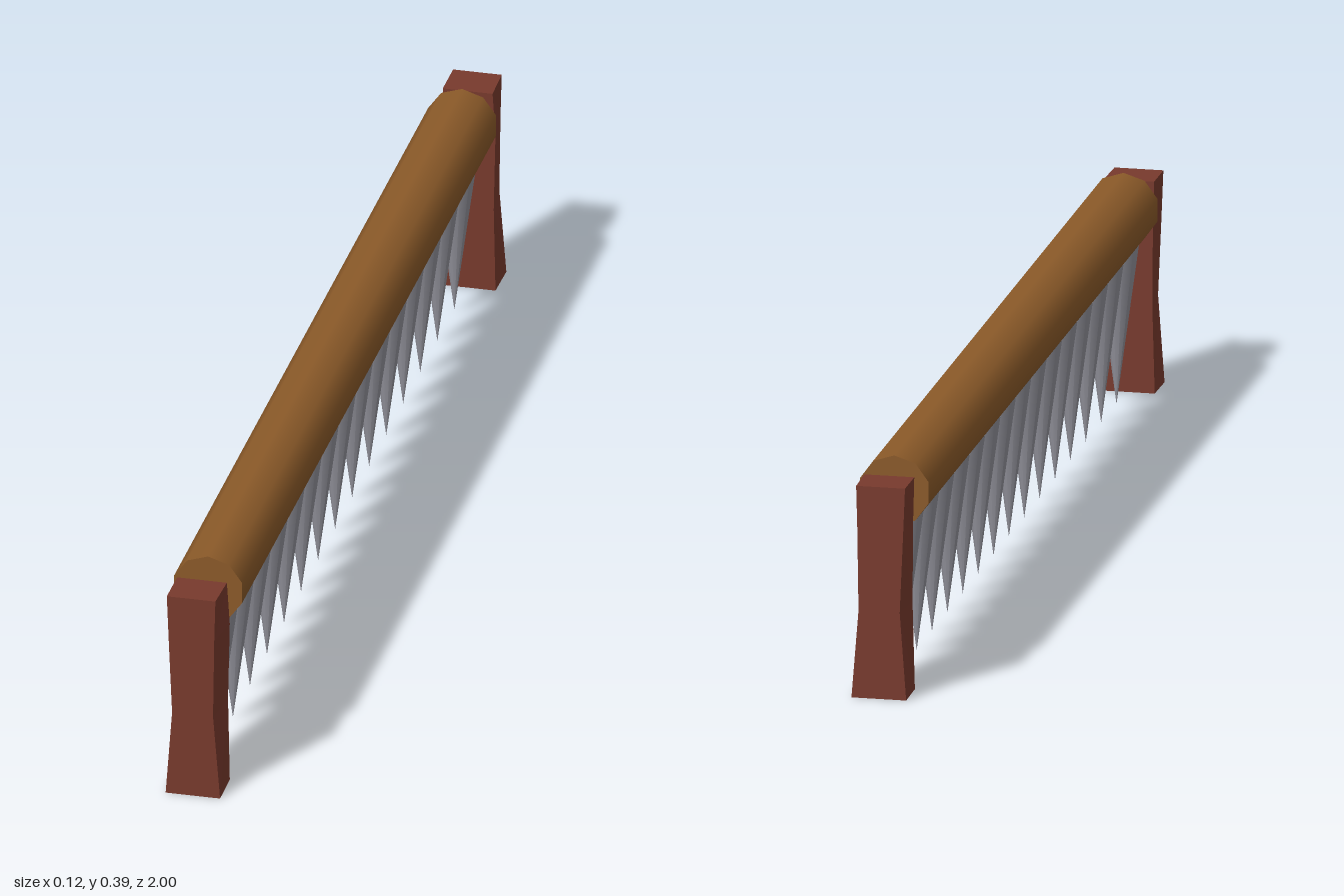
import * as THREE from 'three';

const wood = new THREE.MeshStandardMaterial({ color: 0x8b5a29 });
const postWood = new THREE.MeshStandardMaterial({ color: 0x783a2d, flatShading: true, side: THREE.DoubleSide });
const steel = new THREE.MeshStandardMaterial({ color: 0x92929b });

const BEAM_Y = 0.328;

function addMesh(parent, name, geometry, material, x = 0, y = 0, z = 0) {
  const mesh = new THREE.Mesh(geometry, material);
  mesh.name = name;
  mesh.position.set(x, y, z);
  parent.add(mesh);
}

// Four-sided post from rings of corners, pinched at the waist, hollow underneath
function postGeometry() {
  // each ring: y, outer left x, outer right x, inner right x, inner left x
  const rings = [
    [0, -0.045, 0.048, 0.047, -0.044],
    [0.15, -0.034, 0.036, 0.044, -0.04],
    [0.29, -0.04, 0.038, 0.047, -0.041],
    [0.365, -0.043, 0.04, 0.042, -0.043],
  ];
  const outer = 1, inner = 0.928;
  const positions = [], index = [];
  for (const [y, a, b, c, d] of rings) {
    positions.push(a, y, outer, b, y, outer, c, y, inner, d, y, inner);
  }
  for (let r = 0; r < rings.length - 1; r++) {
    for (let s = 0; s < 4; s++) {
      const p = r * 4 + s, q = r * 4 + (s + 1) % 4;
      index.push(p, q, q + 4, p, q + 4, p + 4);
    }
  }
  const t = (rings.length - 1) * 4;
  index.push(t, t + 1, t + 2, t, t + 2, t + 3);
  const geometry = new THREE.BufferGeometry();
  geometry.setAttribute('position', new THREE.Float32BufferAttribute(positions, 3));
  geometry.setIndex(index);
  const flat = geometry.toNonIndexed();
  flat.computeVertexNormals();
  return flat;
}

export function createModel() {
  const model = new THREE.Group();
  model.name = 'spikedBeam';

  // Ten-sided beam lying along z, one corner at the top
  const beam = new THREE.CylinderGeometry(0.061, 0.061, 1.775, 10);
  beam.rotateX(Math.PI / 2);
  beam.rotateZ(Math.PI);
  addMesh(model, 'beam', beam, wood, 0, BEAM_Y, 0);

  // Row of fifteen spikes hanging from the beam
  const spike = new THREE.ConeGeometry(0.038, 0.275, 12);
  spike.rotateX(Math.PI);
  const spikes = new THREE.Group();
  spikes.name = 'spikes';
  for (let i = -7; i <= 7; i++) addMesh(spikes, 'spike', spike, steel, 0, 0.143, i * 0.119);
  model.add(spikes);

  // End posts with axle stubs, mirrored front to back
  const post = postGeometry();
  const axle = new THREE.BoxGeometry(0.036, 0.028, 0.07);
  for (const [name, side] of [['frontSupport', 1], ['backSupport', -1]]) {
    const support = new THREE.Group();
    support.name = name;
    addMesh(support, 'post', post, postWood);
    addMesh(support, 'axle', axle, postWood, 0, 0.33, 0.905);
    support.scale.z = side;
    model.add(support);
  }
  return model;
}
